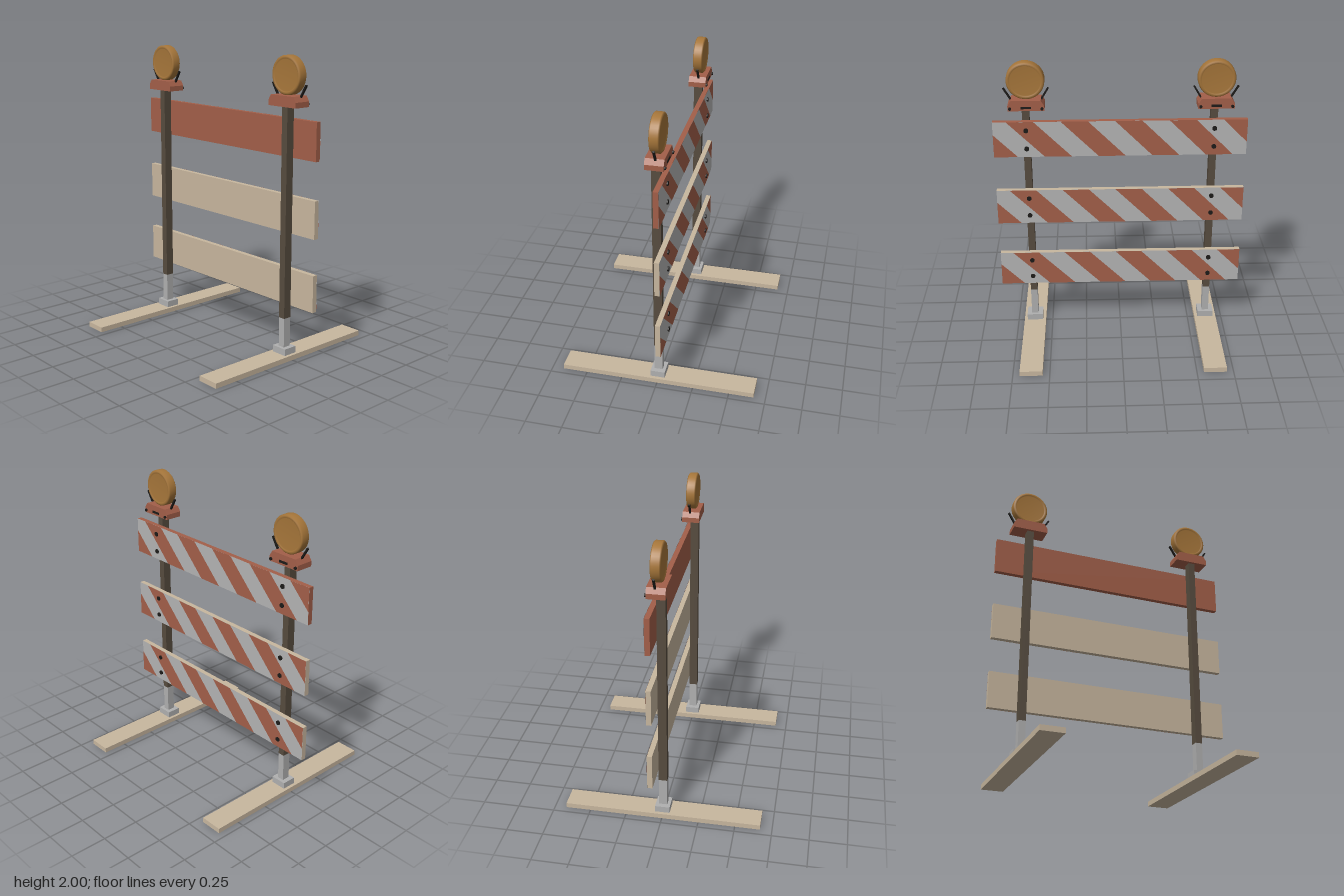
import * as THREE from 'three';

const mat = (color, side = THREE.FrontSide) => new THREE.MeshStandardMaterial({ color, side });
const red = mat(0xa35f49), tan = mat(0xc8b79f), brown = mat(0x574c3f), amber = mat(0xa6763a);
const steel = mat(0xb0b0b0), black = mat(0x1c1a18);
const stripeRed = mat(0xa35f49, THREE.DoubleSide), stripeGrey = mat(0xb4b4b4, THREE.DoubleSide);

function add(parent, name, geometry, material, x = 0, y = 0, z = 0) {
  const mesh = new THREE.Mesh(geometry, material);
  mesh.name = name;
  mesh.position.set(x, y, z);
  parent.add(mesh);
  return mesh;
}

// Box given by its centre x, z and its lower and upper heights
function block(parent, name, material, w, y0, y1, d, x = 0, z = 0) {
  return add(parent, name, new THREE.BoxGeometry(w, y1 - y0, d), material, x, (y0 + y1) / 2, z);
}

const polygon = (pts) => new THREE.ShapeGeometry(new THREE.Shape(pts.map(([x, y]) => new THREE.Vector2(x, y))));

const HALF = 0.845, HEIGHT = 0.25, PERIOD = 0.36;

// Board with a slanted striped sheet on its back and four bolts
function makeBoard(y, material) {
  const board = new THREE.Group();
  board.name = 'board';
  board.position.y = y;
  block(board, 'plank', material, HALF * 2, 0, HEIGHT, 0.034, 0, -0.047);

  const sheet = new THREE.Group();
  sheet.name = 'stripedSheet';
  sheet.rotation.y = Math.PI;
  sheet.position.z = -0.0645;
  board.add(sheet);
  add(sheet, 'greySheet', polygon([[-HALF, 0], [HALF, 0], [HALF, HEIGHT], [-HALF, HEIGHT]]), stripeGrey);
  const h = HEIGHT / 2, w = PERIOD / 4;
  for (const n of [-1.5, -0.5, 0.5, 1.5]) {
    const c = n * PERIOD;
    add(sheet, 'redStripe', polygon([[c + h - w, 0], [c + h + w, 0], [c - h + w, HEIGHT], [c - h - w, HEIGHT]]), stripeRed, 0, 0, 0.001);
  }
  add(sheet, 'cornerStripe', polygon([[-HALF, 0], [-HALF + 0.16, 0], [-HALF, 0.16]]), stripeRed, 0, 0, 0.001);
  add(sheet, 'cornerStripe', polygon([[HALF, HEIGHT], [HALF - 0.16, HEIGHT], [HALF, HEIGHT - 0.16]]), stripeRed, 0, 0, 0.001);

  for (const x of [-0.625, 0.625]) for (const by of [0.06, 0.19]) {
    add(board, 'bolt', new THREE.CylinderGeometry(0.016, 0.016, 0.012, 12), black, x, by, -0.067).rotation.x = Math.PI / 2;
  }
  return board;
}

// Warning lamp on a chamfered housing with two angled handles
function makeLamp(x) {
  const lamp = new THREE.Group();
  lamp.name = 'warningLamp';
  lamp.position.x = x;

  const outline = new THREE.Shape([[-0.12, 1.68], [0.12, 1.68], [0.12, 1.715], [0.098, 1.75], [-0.098, 1.75], [-0.12, 1.715]]
    .map(([px, py]) => new THREE.Vector2(px, py)));
  add(lamp, 'housing', new THREE.ExtrudeGeometry(outline, { depth: 0.12, bevelEnabled: false }), red, 0, 0, -0.072);
  block(lamp, 'housingSlot', black, 0.07, 1.695, 1.71, 0.006, 0, -0.073);

  // Disc: flat rim on both sides around slightly sunken lenses
  const profile = [[0, -0.026], [0.1, -0.026], [0.104, -0.032], [0.117, -0.032], [0.125, -0.024],
    [0.125, 0.024], [0.117, 0.032], [0.104, 0.032], [0.1, 0.026], [0, 0.026]];
  const disc = new THREE.LatheGeometry(profile.map(([r, z]) => new THREE.Vector2(r, z)), 40);
  add(lamp, 'lens', disc, amber, 0, 1.875, -0.013).rotation.x = Math.PI / 2;

  for (const s of [-1, 1]) {
    const rod = add(lamp, 'handle', new THREE.BoxGeometry(0.011, 0.095, 0.014), black, s * 0.122, 1.78, -0.018);
    rod.rotation.z = -s * 0.54;
    add(lamp, 'housingBolt', new THREE.CylinderGeometry(0.01, 0.01, 0.014, 10), black, s * 0.105, 1.697, -0.075).rotation.x = Math.PI / 2;
  }
  return lamp;
}

export function createModel() {
  const model = new THREE.Group();
  model.name = 'roadBarricade';

  for (const [y, material] of [[0.36, tan], [0.85, tan], [1.35, red]]) model.add(makeBoard(y, material));

  for (const x of [-0.625, 0.625]) {
    const stand = new THREE.Group();
    stand.name = 'stand';
    stand.position.x = x;
    block(stand, 'foot', tan, 0.156, 0, 0.035, 1.34);
    block(stand, 'basePlate', steel, 0.112, 0.035, 0.08, 0.1);
    block(stand, 'sleeve', steel, 0.047, 0.08, 0.28, 0.056);
    block(stand, 'post', brown, 0.047, 0.28, 1.69, 0.058);
    model.add(stand);
  }

  for (const x of [-0.63, 0.617]) model.add(makeLamp(x));
  return model;
}
